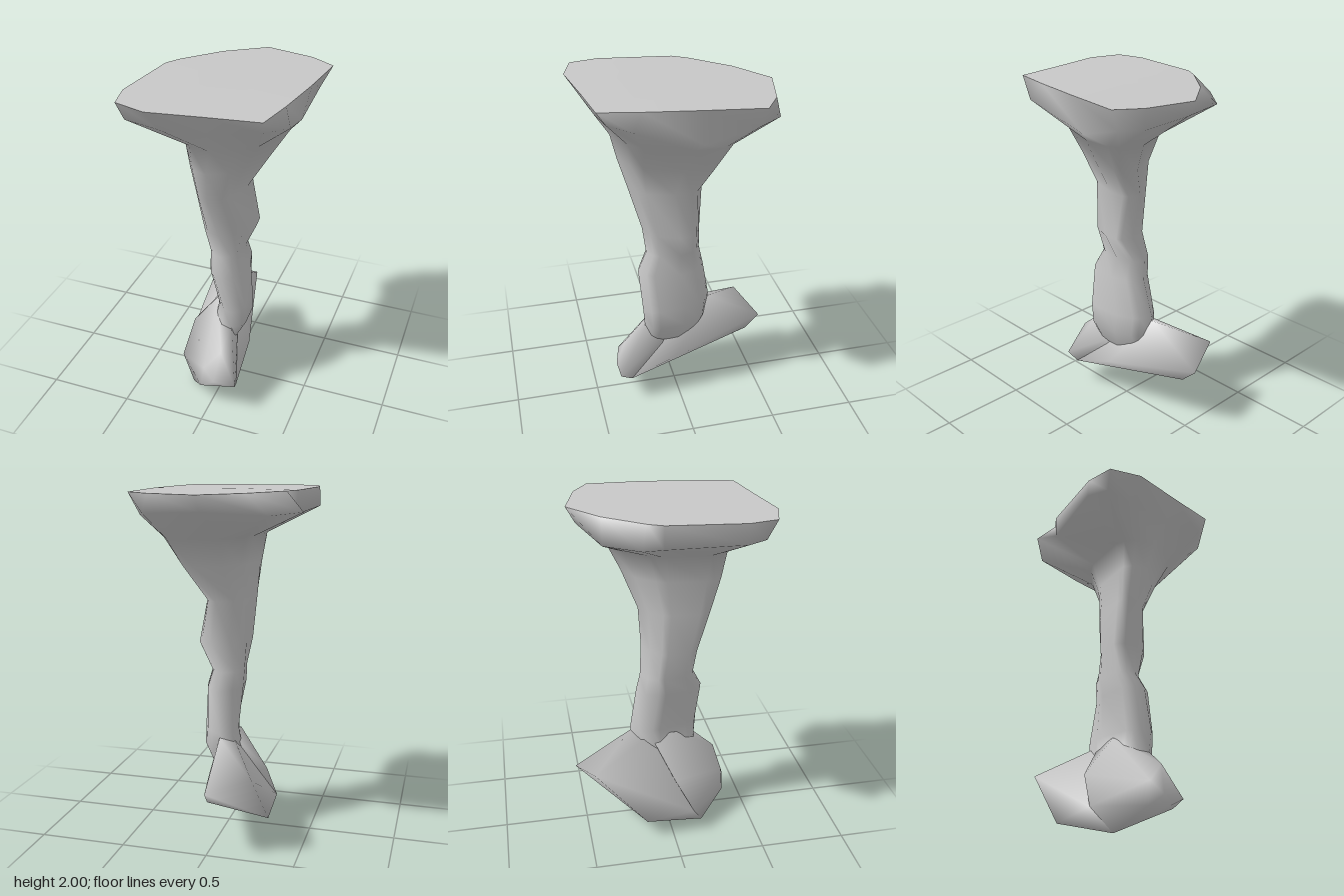
import * as THREE from 'three';
import { mergeVertices } from 'three/addons/utils/BufferGeometryUtils.js';
import { ConvexGeometry } from 'three/addons/geometries/ConvexGeometry.js';

// Rim of the head: top x, z, then lower edge x, y, z
const RIM = [
  [0.04, -0.53, 0.03, 1.9, -0.48],
  [0.32, -0.46, 0.34, 1.89, -0.48],
  [0.46, -0.37, 0.4, 1.87, -0.35],
  [0.43, -0.05, 0.38, 1.79, -0.07],
  [0.385, 0.25, 0.425, 1.91, 0.3],
  [0.34, 0.47, 0.32, 1.92, 0.42],
  [0.05, 0.51, 0.04, 1.87, 0.44],
  [-0.24, 0.555, -0.21, 1.87, 0.46],
  [-0.42, 0.5, -0.4, 1.89, 0.45],
  [-0.455, 0.34, -0.46, 1.89, 0.34],
  [-0.405, -0.08, -0.4, 1.87, -0.08],
  [-0.36, -0.16, -0.46, 1.89, -0.2],
  [-0.18, -0.37, -0.31, 1.88, -0.38],
];

// Shaft sections: y, min x, max x, min z, max z, skew of x along z
const SHAFT = [
  [1.74, -0.17, 0.33, -0.31, 0.36, -0.25],
  [1.58, -0.135, 0.23, -0.23, 0.32, -0.3],
  [1.38, -0.125, 0.11, -0.15, 0.26, -0.2],
  [1.13, -0.115, 0.165, -0.13, 0.19, -0.25],
  [0.97, -0.1, 0.095, -0.15, 0.17, 0],
  [0.86, -0.09, 0.13, -0.17, 0.225, 0],
  [0.62, -0.07, 0.14, -0.215, 0.21, 0.2],
  [0.5, -0.09, 0.145, -0.2, 0.2, 0.2],
  [0.37, -0.11, 0.085, -0.15, 0.2, 0.1],
];

// Corners of the front lobe of the foot
const TOE = [
  [-0.17, 0, 0.2], [0.165, 0.2, 0.37], [0.15, 0.16, 0.3], [-0.06, 0.13, 0.355],
  [-0.04, 0.27, 0.35], [0.03, 0.2, 0.375], [0.06, 0.39, 0.32], [0.08, 0.5, 0.19],
  [0.085, 0.37, 0.1], [0.05, 0.2, 0.05], [-0.27, 0.14, 0.13], [-0.23, 0.35, 0.02],
  [-0.06, 0.59, 0.05], [-0.05, 0.58, -0.1],
];

// Corners of the wedge running backwards
const HEEL = [
  [0, 0.6, -0.215], [0.135, 0.27, 0.02], [-0.01, 0.39, -0.555], [0, 0.31, -0.47],
  [-0.25, 0.46, -0.46], [-0.28, 0.11, -0.16], [-0.27, 0.14, 0.13], [-0.17, 0, 0.2],
  [0.15, 0.16, 0.3], [-0.05, 0.58, -0.1],
];

function makeGeometry(points, index) {
  const g = new THREE.BufferGeometry();
  g.setAttribute('position', new THREE.Float32BufferAttribute(points.flat(), 3));
  g.setIndex(index);
  g.computeVertexNormals();
  return g;
}

// Skin between closed rings listed from top to bottom
function loft(rings) {
  const n = rings[0].length, index = [];
  for (let i = 0; i < rings.length - 1; i++) {
    for (let j = 0; j < n; j++) {
      const k = (j + 1) % n;
      const a = i * n + j, b = i * n + k, c = a + n, d = b + n;
      index.push(a, b, c, b, d, c);
    }
  }
  return makeGeometry(rings.flat(), index);
}

function shaftRing([y, x0, x1, z0, z1, skew]) {
  return RIM.map(([, , lx, , lz]) => {
    const a = Math.atan2(lz, lx);
    const z = (z1 - z0) / 2 * Math.sin(a);
    const x = (x0 + x1) / 2 + (x1 - x0) / 2 * Math.cos(a) + skew * z;
    return [THREE.MathUtils.clamp(x, x0, x1), y, (z0 + z1) / 2 + z];
  });
}

// Convex block with smooth normals
function smoothHull(points) {
  const hull = new ConvexGeometry(points.map((p) => new THREE.Vector3(...p)));
  hull.deleteAttribute('normal');
  const g = mergeVertices(hull);
  g.computeVertexNormals();
  return g;
}

export function createModel() {
  const group = new THREE.Group();
  const grey = new THREE.MeshStandardMaterial({ color: 0xc8c8c8 });
  grey.name = 'plain grey';
  const add = (name, geometry) => {
    const mesh = new THREE.Mesh(geometry, grey);
    mesh.name = name;
    group.add(mesh);
  };

  // Flat top face
  const top = RIM.map(([x, z]) => [x, 2 - 0.02 * Math.max(0, -z), z]);
  const fan = top.flatMap((_, j) => [0, (j + 1) % top.length + 1, j + 1]);
  add('topFace', makeGeometry([[0, 2, 0], ...top], fan));

  // Flared head running down into the shaft
  const lower = RIM.map(([, , x, y, z]) => [x, y, z]);
  add('flaredShaft', loft([top, lower, ...SHAFT.map(shaftRing)]));

  // Foot in two lobes
  add('footFront', smoothHull(TOE));
  add('footBack', smoothHull(HEEL));

  return group;
}
